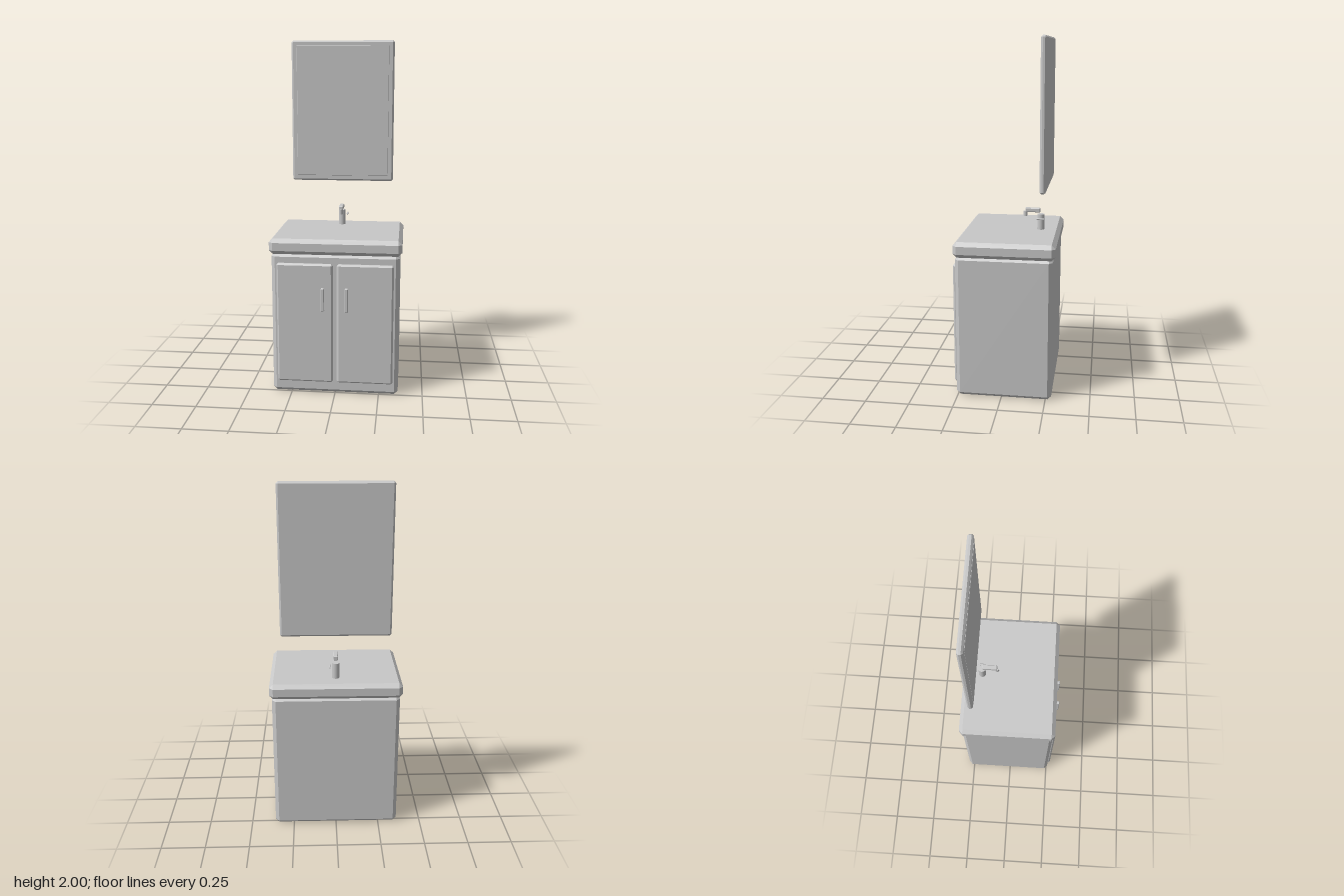
import * as THREE from 'three';
import { ConvexGeometry } from 'three/addons/geometries/ConvexGeometry.js';

// Box between two corners with every edge chamfered by b
function chamferBox(min, max, b) {
  const lo = new THREE.Vector3(...min), hi = new THREE.Vector3(...max);
  const c = lo.clone().add(hi).multiplyScalar(0.5);
  const h = hi.clone().sub(lo).multiplyScalar(0.5);
  const points = [];
  for (const sx of [-1, 1]) for (const sy of [-1, 1]) for (const sz of [-1, 1]) {
    for (let axis = 0; axis < 3; axis++) {
      points.push(new THREE.Vector3(
        sx * (h.x - (axis === 0 ? 0 : b)),
        sy * (h.y - (axis === 1 ? 0 : b)),
        sz * (h.z - (axis === 2 ? 0 : b))
      ));
    }
  }
  return new ConvexGeometry(points).translate(c.x, c.y, c.z);
}

export function createModel() {
  const group = new THREE.Group();
  const grey = new THREE.MeshStandardMaterial({ color: 0xc8c8c8 });
  grey.name = 'plain grey';

  const add = (name, geometry) => {
    const mesh = new THREE.Mesh(geometry, grey);
    mesh.name = name;
    group.add(mesh);
  };
  const box = (name, min, max, b) => add(name, chamferBox(min, max, b));
  const post = (name, r, y0, y1, z) =>
    add(name, new THREE.CylinderGeometry(r, r, y1 - y0, 32).translate(0, (y0 + y1) / 2, z));

  // Vanity
  box('cabinet', [-0.36, 0, -0.283], [0.36, 0.825, 0.257], 0.021);
  box('countertop', [-0.373, 0.817, -0.298], [0.373, 0.906, 0.267], 0.022);

  // Pair of doors with bar handles
  for (const [side, s] of [['left', 1], ['right', -1]]) {
    const span = (a, b) => (s > 0 ? [a, b] : [-b, -a]);
    const [d0, d1] = span(0.011, 0.329);
    box(side + 'Door', [d0, 0.07, 0.24], [d1, 0.77, 0.273], 0.01);
    const [h0, h1] = span(0.058, 0.076);
    box(side + 'Handle', [h0, 0.5, 0.272], [h1, 0.636, 0.295], 0.003);
  }

  // Tap: body, spout, outlet and side lever
  post('tapBody', 0.021, 0.9, 0.996, -0.185);
  box('tapSpout', [-0.013, 1.007, -0.182], [0.013, 1.032, -0.094], 0.004);
  post('tapOutlet', 0.012, 0.984, 1.012, -0.095);
  box('tapLever', [0.029, 0.968, -0.207], [0.038, 0.977, -0.163], 0.002);

  // Wall mirror with a slightly raised glass
  box('mirrorFrame', [-0.305, 1.17, -0.235], [0.305, 2, -0.203], 0.01);
  box('mirrorGlass', [-0.274, 1.202, -0.21], [0.274, 1.97, -0.2], 0.002);

  return group;
}
